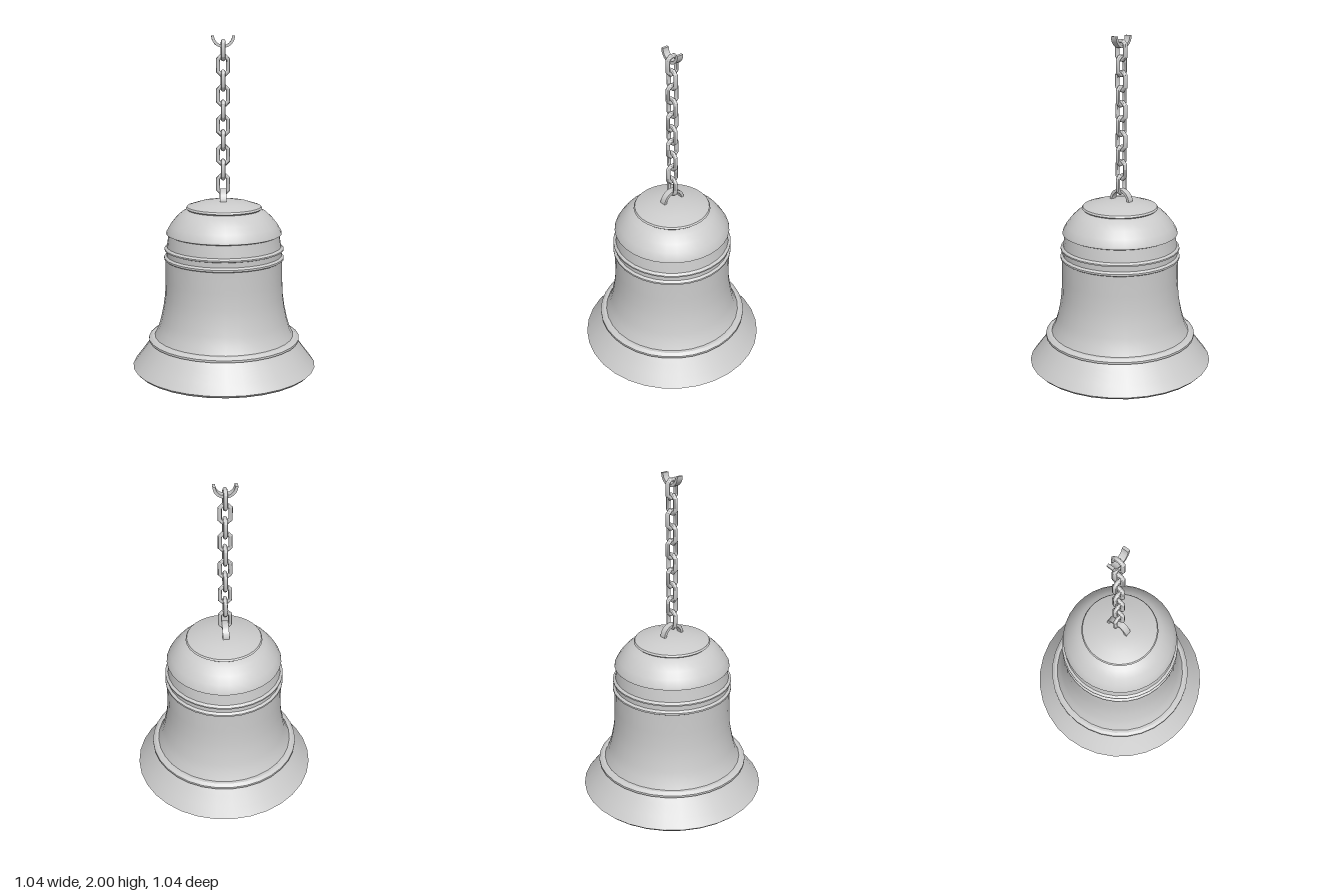
import * as THREE from 'three';
import { toCreasedNormals } from 'three/addons/utils/BufferGeometryUtils.js';

const material = new THREE.MeshStandardMaterial({ color: 0xcccccc });
const CHAIN_X = -0.005;

function addMesh(parent, name, geometry) {
  const mesh = new THREE.Mesh(geometry, material);
  mesh.name = name;
  parent.add(mesh);
  return mesh;
}

function turned(profile, segments) {
  const points = profile.map(([r, y]) => new THREE.Vector2(r, y));
  return toCreasedNormals(new THREE.LatheGeometry(points, segments), 0.5);
}

// Half of a flat-sided ring, arching upward in the XY plane
function halfRing(outer, inner, depth) {
  const shape = new THREE.Shape();
  shape.absarc(0, 0, outer, 0, Math.PI, false);
  shape.absarc(0, 0, inner, Math.PI, 0, true);
  const geometry = new THREE.ExtrudeGeometry(shape, { depth, bevelEnabled: false, curveSegments: 14 });
  geometry.translate(0, 0, -depth / 2);
  return toCreasedNormals(geometry, 0.6);
}

// Octagonal ring stretched along y into a chain link
function chainLink(radius, wire, stretch) {
  const geometry = new THREE.TorusGeometry(radius, wire, 8, 8);
  geometry.rotateZ(Math.PI / 8);
  const p = geometry.attributes.position;
  for (let i = 0; i < p.count; i++) {
    p.setY(i, p.getY(i) + Math.sign(p.getY(i)) * stretch);
  }
  return toCreasedNormals(geometry, 0.8);
}

export function createModel() {
  const group = new THREE.Group();
  group.name = 'hangingBell';

  // Bell shell: down the inside, around the rim, up the outside
  const inside = [
    [0, 1.05], [0.17, 1.03], [0.24, 0.97], [0.285, 0.88], [0.295, 0.75],
    [0.3, 0.58], [0.325, 0.43], [0.36, 0.35], [0.395, 0.3], [0.48, 0.15],
  ];
  const outside = [
    [0.485, 0.135], [0.508, 0.135], [0.522, 0.15], [0.48, 0.205], [0.44, 0.26], [0.415, 0.295],
    [0.43, 0.3], [0.43, 0.312], [0.412, 0.325], [0.396, 0.326],
    [0.375, 0.37], [0.36, 0.42], [0.345, 0.49], [0.335, 0.56], [0.331, 0.65], [0.33, 0.765],
    [0.338, 0.77], [0.338, 0.78], [0.325, 0.79], [0.325, 0.818],
    [0.336, 0.822], [0.336, 0.83], [0.322, 0.84], [0.312, 0.908],
    [0.325, 0.914], [0.322, 0.926], [0.302, 0.962], [0.272, 1.0], [0.238, 1.032], [0.205, 1.048],
    [0.214, 1.056], [0.208, 1.066], [0.14, 1.088], [0.07, 1.1], [0, 1.1],
  ];
  addMesh(group, 'bellShell', turned([...inside, ...outside], 32));

  // Clapper: stem, bulge, waist and foot
  addMesh(group, 'clapper', turned([
    [0, 0.005], [0.095, 0.005], [0.12, 0.05], [0.112, 0.075], [0.108, 0.11], [0.114, 0.145],
    [0.125, 0.19], [0.11, 0.225], [0.083, 0.265], [0.072, 0.31], [0.068, 0.4], [0.068, 1.05],
  ], 24));

  // Crown loop and ceiling hook
  const crownLoop = addMesh(group, 'crownLoop', halfRing(0.068, 0.053, 0.036));
  crownLoop.rotation.y = Math.PI / 2;
  crownLoop.position.set(CHAIN_X, 1.096, -0.005);
  const hook = addMesh(group, 'topHook', halfRing(0.064, 0.049, 0.036));
  hook.rotation.z = Math.PI;
  hook.position.set(CHAIN_X, 2, -0.005);

  // Chain of alternating links
  const chain = new THREE.Group();
  chain.name = 'chain';
  chain.position.set(CHAIN_X, 1.19, -0.005);
  group.add(chain);
  const linkGeometry = chainLink(0.03, 0.012, 0.021);
  for (let i = 0; i < 10; i++) {
    const link = addMesh(chain, 'chainLink', linkGeometry);
    link.position.y = i * 0.0815;
    link.rotation.y = (i % 2) * Math.PI / 2;
  }
  return group;
}
